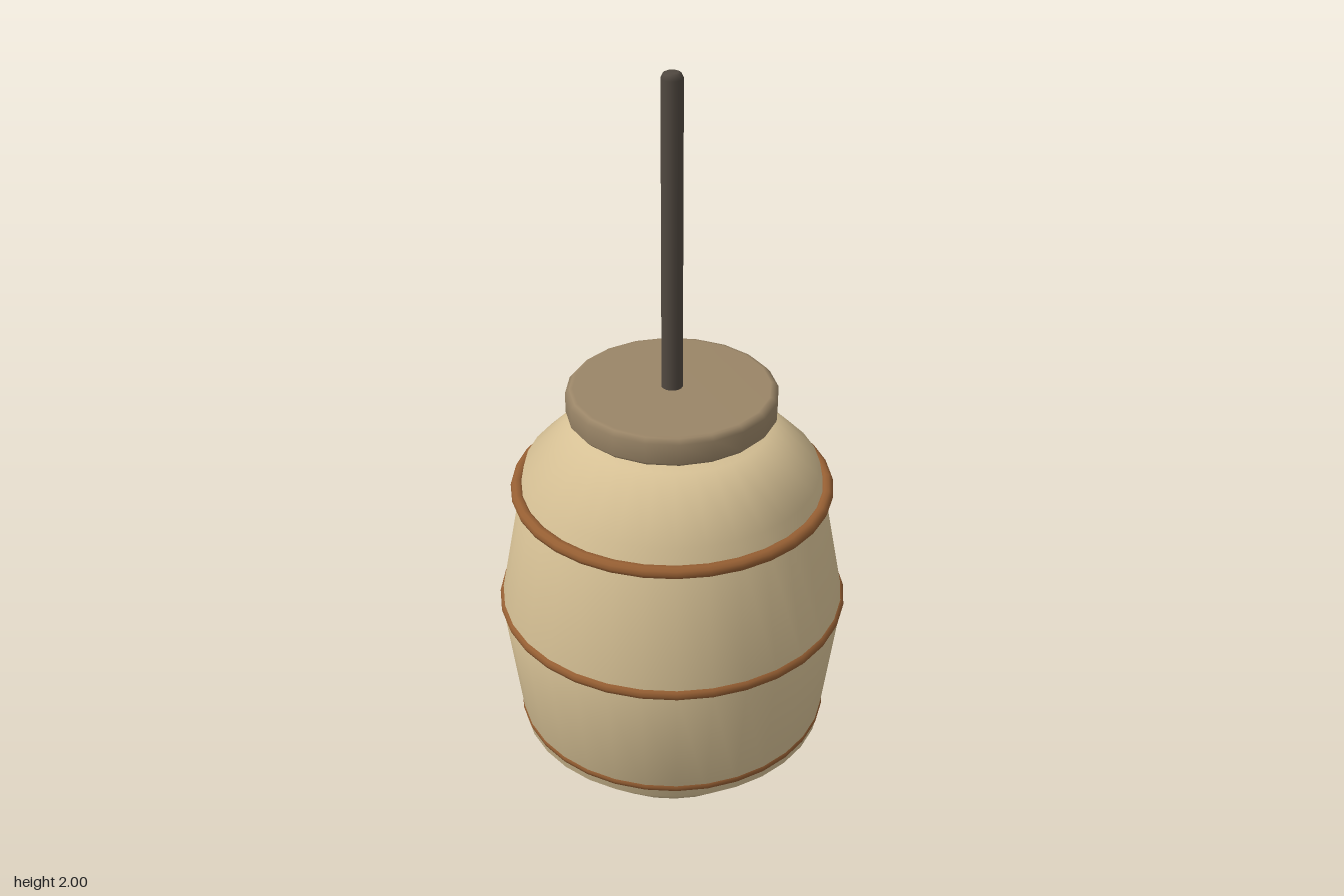
import * as THREE from 'three';

const paint = (name, color) => {
  const m = new THREE.MeshStandardMaterial({ color });
  m.name = name;
  return m;
};

export function createModel() {
  const group = new THREE.Group();
  const clay = paint('pale tan', 0xd8c296);
  const lidTone = paint('dull brown', 0x9a8567);
  const hoopTone = paint('copper brown', 0x965f33);
  const rodTone = paint('dark grey brown', 0x504840);

  const add = (name, geometry, material) => {
    const mesh = new THREE.Mesh(geometry, material);
    mesh.name = name;
    group.add(mesh);
    return mesh;
  };
  // Turned parts: profile of [radius, height] from bottom to top
  const turn = (points, sides) =>
    new THREE.LatheGeometry(points.map(([r, y]) => new THREE.Vector2(r, y)), sides);

  // Bulging body, closed at both ends
  add('body', turn([
    [0, 0], [0.295, 0], [0.425, 0.13], [0.472, 0.51], [0.395, 0.92], [0.262, 1.055], [0, 1.055],
  ], 32), clay);

  // Three hoops around the body
  for (const [name, radius, y] of [
    ['lowerHoop', 0.415, 0.163], ['middleHoop', 0.46, 0.515], ['upperHoop', 0.415, 0.863],
  ]) {
    const hoop = add(name, new THREE.TorusGeometry(radius, 0.0175, 10, 32), hoopTone);
    hoop.rotation.x = Math.PI / 2;
    hoop.position.y = y;
  }

  // Floating lid with softened rims; the inner rings keep its faces flat
  add('lid', turn([
    [0, 1.08], [0.258, 1.08], [0.267, 1.081], [0.278, 1.093],
    [0.278, 1.147], [0.267, 1.159], [0.258, 1.16], [0, 1.16],
  ], 20), lidTone);

  // Plunger rod with a small rounded tip
  add('rod', turn([
    [0, 1.12], [0.028, 1.12], [0.028, 1.14], [0.028, 1.985], [0.022, 1.997], [0.016, 2], [0, 2],
  ], 16), rodTone);

  return group;
}
